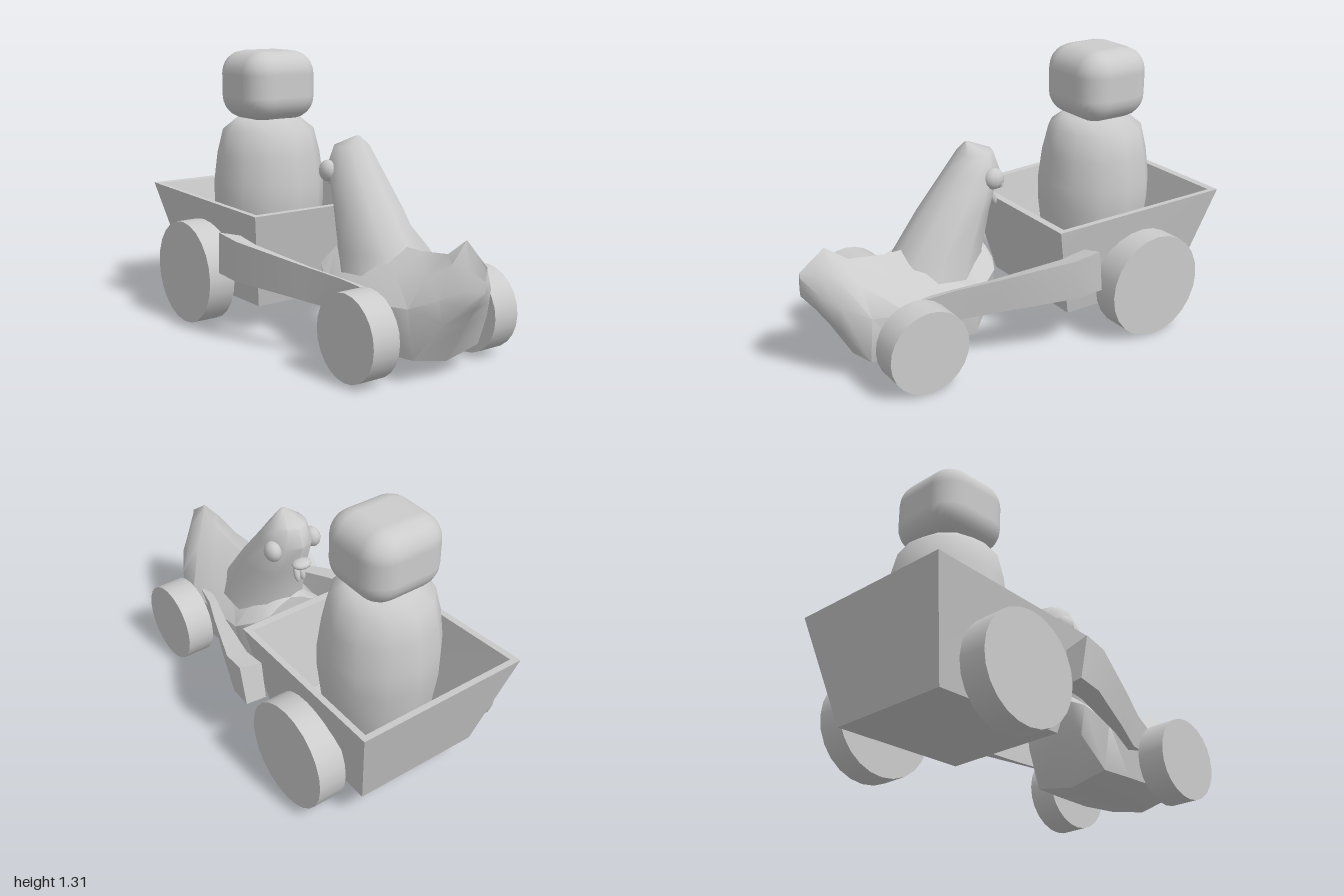
import * as THREE from 'three';
import { toCreasedNormals } from 'three/addons/utils/BufferGeometryUtils.js';
import { RoundedBoxGeometry } from 'three/addons/geometries/RoundedBoxGeometry.js';

const grey = new THREE.MeshStandardMaterial({ color: 0xcccccc });

function add(parent, name, geometry, x = 0, y = 0, z = 0) {
  const mesh = new THREE.Mesh(geometry, grey);
  mesh.name = name;
  mesh.position.set(x, y, z);
  parent.add(mesh);
  return mesh;
}

// Skins a list of rings (equal numbers of [x, y, z] corners) and caps both ends
function loft(rings, crease) {
  const n = rings[0].length;
  const pts = rings.flat().map((p) => new THREE.Vector3(...p));
  const index = [];
  for (let r = 0; r < rings.length - 1; r++) {
    for (let i = 0; i < n; i++) {
      const a = r * n + i, b = r * n + (i + 1) % n;
      index.push(a, b, b + n, a, b + n, a + n);
    }
  }
  [0, rings.length - 1].forEach((r, end) => {
    const centre = new THREE.Vector3();
    for (let i = 0; i < n; i++) centre.addScaledVector(pts[r * n + i], 1 / n);
    const c = pts.push(centre) - 1;
    for (let i = 0; i < n; i++) {
      const a = r * n + i, b = r * n + (i + 1) % n;
      index.push(c, ...(end ? [a, b] : [b, a]));
    }
  });
  // Turn every face outward if the solid came out inside out
  let volume = 0;
  const cross = new THREE.Vector3();
  for (let i = 0; i < index.length; i += 3) {
    volume += pts[index[i]].dot(cross.crossVectors(pts[index[i + 1]], pts[index[i + 2]]));
  }
  if (volume < 0) index.reverse();
  const geometry = new THREE.BufferGeometry().setFromPoints(pts);
  geometry.setIndex(index);
  return toCreasedNormals(geometry, crease);
}

// Rectangle ring for the tray, with separate front and back heights and widths
const trayRing = (wFront, yFront, zFront, wBack, yBack, zBack) => [
  [-wFront, yFront, zFront], [wFront, yFront, zFront], [wBack, yBack, zBack], [-wBack, yBack, zBack],
];

function createCart() {
  const cart = new THREE.Group();
  cart.name = 'cart';
  add(cart, 'tray', loft([
    trayRing(0.31, 0.13, -0.2, 0.31, 0.13, -0.865),
    trayRing(0.395, 0.59, -0.088, 0.425, 0.625, -1),
    trayRing(0.365, 0.59, -0.125, 0.395, 0.622, -0.968),
    trayRing(0.3, 0.17, -0.21, 0.3, 0.17, -0.85),
  ], 0.2));
  return cart;
}

function createBird() {
  const bird = new THREE.Group();
  bird.name = 'bird';

  // Body and raised tail: z, top, widest height, half width, bottom
  const sections = [
    [1, 0.52, 0.46, 0.008, 0.41],
    [0.94, 0.565, 0.42, 0.08, 0.335],
    [0.88, 0.61, 0.38, 0.145, 0.25],
    [0.77, 0.53, 0.33, 0.215, 0.065],
    [0.6, 0.51, 0.32, 0.258, 0.065],
    [0.4, 0.51, 0.32, 0.25, 0.065],
    [0.24, 0.51, 0.32, 0.235, 0.065],
    [0.13, 0.5, 0.39, 0.185, 0.23],
    [0.1, 0.48, 0.42, 0.12, 0.34],
  ];
  add(bird, 'body', loft(sections.map(([z, top, mid, w, bottom]) => {
    const upper = top - (top - mid) * 0.4;
    const lower = bottom + (mid - bottom) * 0.15;
    return [
      [0, top, z], [w * 0.55, upper, z], [w, mid, z], [w * 0.86, lower, z],
      [0, bottom, z], [-w * 0.86, lower, z], [-w, mid, z], [-w * 0.55, upper, z],
    ];
  }), 0.9));

  // Neck and head: height, face z, nape z, half width
  const levels = [
    [0.35, 0.125, 0.6, 0.2],
    [0.47, 0.105, 0.54, 0.175],
    [0.65, 0.065, 0.405, 0.155],
    [0.82, 0, 0.27, 0.118],
    [0.91, 0.035, 0.2, 0.085],
    [0.957, 0.145, 0.17, 0.012],
  ];
  add(bird, 'neckAndHead', loft(levels.map(([y, front, back, w]) =>
    Array.from({ length: 10 }, (_, i) => {
      const a = i * Math.PI / 5;
      return [w * Math.sin(a), y, (front + back) / 2 + (back - front) / 2 * Math.cos(a)];
    })), 0.9));

  // Beak, wattles and eyes
  const ball = new THREE.SphereGeometry(1, 12, 8);
  add(bird, 'beak', ball, 0, 0.73, 0.01).scale.set(0.05, 0.022, 0.04);
  for (const s of [-1, 1]) {
    const wattle = add(bird, 'wattle', ball, s * 0.015, 0.67, 0.028);
    wattle.scale.set(0.016, 0.042, 0.016);
    wattle.rotation.x = 0.3;
    add(bird, 'eye', ball, s * 0.11, 0.8, 0.085).scale.set(0.04, 0.05, 0.05);
  }
  return bird;
}

function createRider() {
  const rider = new THREE.Group();
  rider.name = 'rider';
  rider.position.z = -0.57;
  const profile = [
    [0, 0.16], [0.2, 0.16], [0.25, 0.33], [0.278, 0.55], [0.278, 0.66],
    [0.26, 0.8], [0.23, 0.92], [0.16, 0.975], [0, 0.985],
  ].map((p) => new THREE.Vector2(...p));
  add(rider, 'torso', new THREE.LatheGeometry(profile, 12)).scale.z = 0.97;
  add(rider, 'head', new RoundedBoxGeometry(0.4, 0.34, 0.38, 3, 0.115), 0, 1.14, 0);
  return rider;
}

// Shaft from the bird to the tray: z, outer x, inner x, outer top, inner top, bottom
function createShaft(side) {
  const sections = [
    [-0.225, 0.505, 0.39, 0.51, 0.48, 0.31],
    [-0.1, 0.492, 0.385, 0.488, 0.458, 0.295],
    [0.22, 0.36, 0.3, 0.425, 0.405, 0.26],
    [0.4, 0.28, 0.235, 0.39, 0.375, 0.237],
    [0.55, 0.235, 0.19, 0.36, 0.35, 0.25],
  ];
  return loft(sections.map(([z, xo, xi, to, ti, b]) => [
    [side * xo, to, z], [side * xi, ti, z],
    [side * xi, b - 0.01, z - 0.028], [side * (xo - 0.012), b, z - 0.028],
  ]), 0.3);
}

export function createModel() {
  const model = new THREE.Group();
  model.name = 'birdDrawnCart';
  model.add(createCart(), createBird(), createRider());

  // Wheels and shafts, mirrored
  const frontWheel = new THREE.CylinderGeometry(0.193, 0.193, 0.136, 24).rotateZ(Math.PI / 2);
  const rearWheel = new THREE.CylinderGeometry(0.25, 0.25, 0.135, 24).rotateZ(Math.PI / 2);
  for (const s of [-1, 1]) {
    const sideName = s > 0 ? 'left' : 'right';
    add(model, sideName + 'FrontWheel', frontWheel, s * 0.338, 0.198, 0.595);
    add(model, sideName + 'RearWheel', rearWheel, s * 0.435, 0.25, -0.57);
    add(model, sideName + 'Shaft', createShaft(s));
  }
  return model;
}
